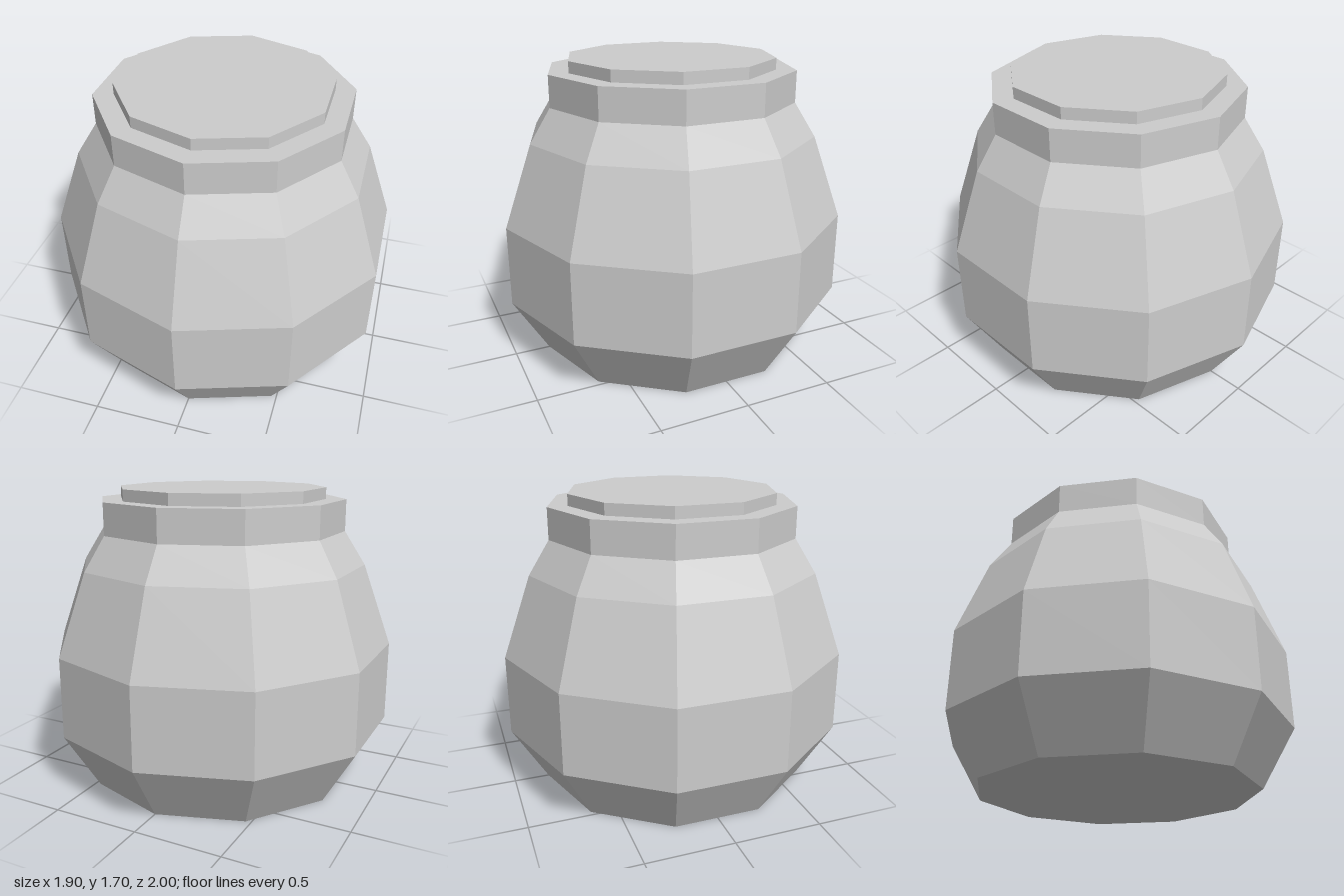
import * as THREE from 'three';

const SIDES = 10;

export function createModel() {
  const group = new THREE.Group();
  const clay = new THREE.MeshStandardMaterial({ color: 0xcccccc, flatShading: true });
  clay.name = 'light grey';

  // Ten-sided solid turned from [radius, height] pairs, bottom to top
  const turned = (name, profile) => {
    const points = profile.map(([r, y]) => new THREE.Vector2(r, y));
    const mesh = new THREE.Mesh(new THREE.LatheGeometry(points, SIDES), clay);
    mesh.name = name;
    group.add(mesh);
  };

  // Jar body: flat base, flared foot, straight belly, tapering shoulder, upright neck
  turned('jarBody', [
    [0, 0], [0.8, 0], [1, 0.335], [1, 0.8],
    [0.835, 1.265], [0.715, 1.455], [0.715, 1.635], [0, 1.635],
  ]);

  // Thin stopper on top of the neck
  turned('stopper', [[0, 1.635], [0.6, 1.635], [0.6, 1.7], [0, 1.7]]);

  return group;
}
